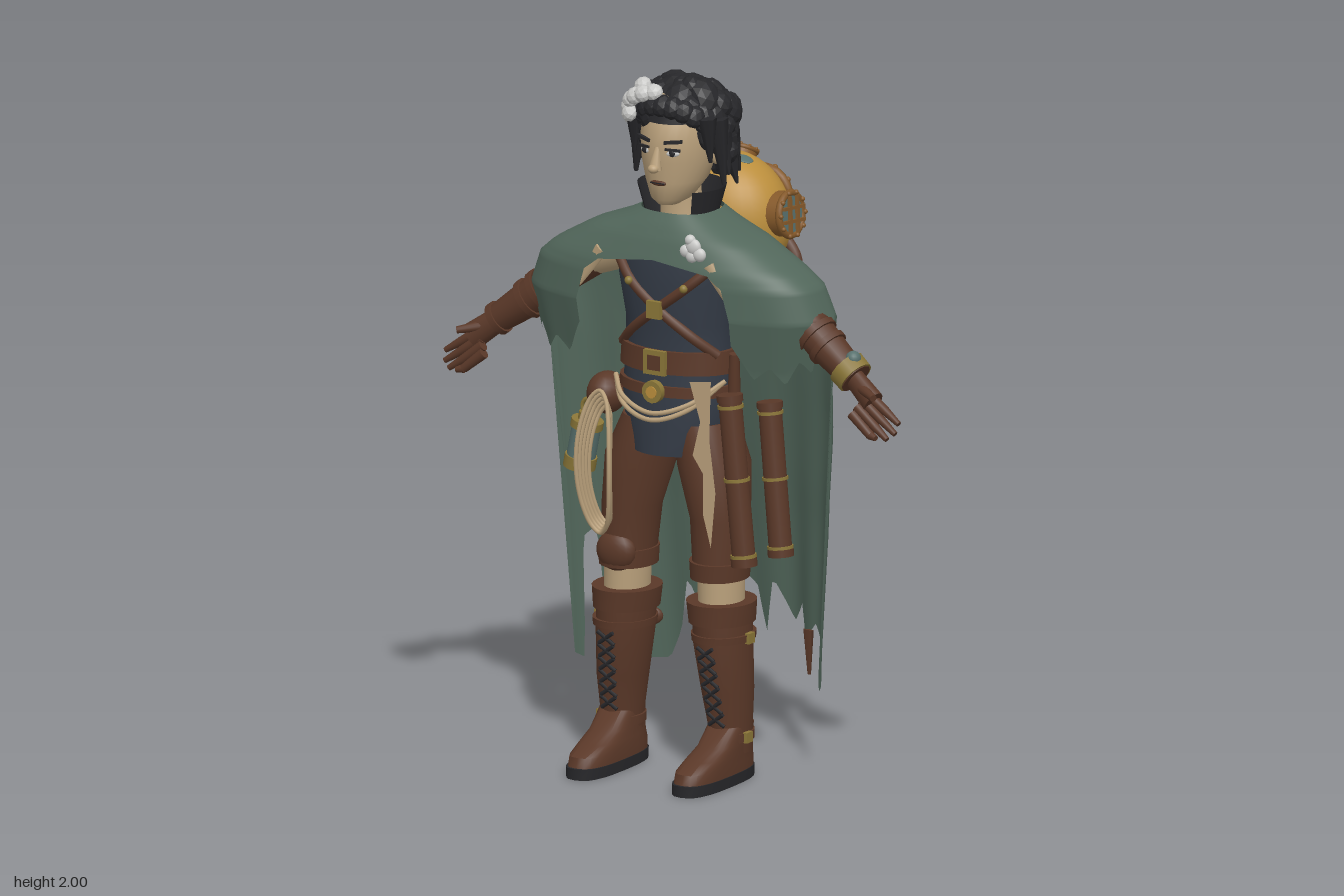
import * as THREE from 'three';
import { mergeGeometries, toCreasedNormals } from 'three/addons/utils/BufferGeometryUtils.js';

const mat = (name, color, extra = {}) => new THREE.MeshStandardMaterial({ name, color, ...extra });
const D = { side: THREE.DoubleSide };
const M = {
  cape: mat('cape green', 0x52675b, D), leather: mat('leather brown', 0x5a3828),
  navy: mat('bodice navy', 0x333a45), skin: mat('skin sand', 0xb9a07b, D),
  black: mat('hair black', 0x27272a, D), gold: mat('helmet gold', 0xbb8e3c),
  bronze: mat('bronze', 0x85592a), brass: mat('old brass', 0x8a7638),
  teal: mat('verdigris', 0x58716e), white: mat('white', 0xcbcbc9),
};
const V = (x, y, z) => new THREE.Vector3(x, y, z);
const SIDES = [-1, 1];
const clamp01 = t => THREE.MathUtils.clamp(t, 0, 1);
const pw = (v, e) => Math.sign(v) * Math.abs(v) ** e;

function add(parent, name, geo, m, x = 0, y = 0, z = 0, rx = 0, ry = 0, rz = 0) {
  const o = new THREE.Mesh(geo, m);
  o.name = name; o.position.set(x, y, z); o.rotation.set(rx, ry, rz);
  parent.add(o);
  return o;
}
const ball = (p, name, m, x, y, z, a, b = a, c = a) => {
  const o = add(p, name, new THREE.SphereGeometry(1, 18, 12), m, x, y, z);
  o.scale.set(a, b, c);
  return o;
};
// Tapered cylinder from point a to point b
function rod(p, name, m, a, b, r1, r2 = r1, n = 14) {
  const A = V(...a), d = V(...b).sub(A), len = d.length();
  const o = add(p, name, new THREE.CylinderGeometry(r2, r1, len, n), m);
  o.position.copy(A).addScaledVector(d, 0.5);
  o.quaternion.setFromUnitVectors(V(0, 1, 0), d.normalize());
  return o;
}
const tube = (p, name, m, pts, r, closed = false) => add(p, name,
  new THREE.TubeGeometry(new THREE.CatmullRomCurve3(pts.map(q => V(...q)), closed), pts.length * 8, r, 7, closed), m);

// Skin over sections [x, y, z, rx, rz], listed from bottom to top; e below 1 squares the ellipses
function loft(p, name, m, secs, e = 1, n = 24) {
  const cap = s => [s[0], s[1], s[2], 0, 0];
  const rows = [cap(secs[0]), ...secs, cap(secs.at(-1))], pos = [], idx = [];
  rows.forEach(([x, y, z, rx, rz], i) => {
    for (let j = 0; j <= n; j++) {
      const a = j / n * Math.PI * 2;
      pos.push(x + pw(Math.sin(a), e) * rx, y, z + pw(Math.cos(a), e) * rz);
      if (i && j) { const c = i * (n + 1) + j, b = c - n - 1; idx.push(b - 1, b, c, b - 1, c, c - 1); }
    }
  });
  const g = new THREE.BufferGeometry();
  g.setAttribute('position', new THREE.Float32BufferAttribute(pos, 3));
  g.setIndex(idx);
  return add(p, name, toCreasedNormals(g, 0.8), m);
}
// Interpolate the columns of a table keyed by its first entry
function lookup(table, k) {
  let i = 1;
  while (i < table.length - 1 && k > table[i][0]) i++;
  const a = table[i - 1], b = table[i], t = clamp01((k - a[0]) / (b[0] - a[0]));
  return a.map((v, c) => v + (b[c] - v) * t);
}

function buildCape(g) {
  // y, half width, back z, front z, middle z, front opening angle
  const shape = [[0.2, 0.43, -0.25, 0.1, -0.03, 0.5], [0.7, 0.44, -0.19, 0.15, -0.01, 0.5], [1.2, 0.455, -0.11, 0.22, 0.04, 0.48],
    [1.35, 0.48, -0.085, 0.25, 0.06, 0.46], [1.44, 0.445, -0.07, 0.25, 0.07, 0.44], [1.478, 0.4, -0.063, 0.245, 0.08, 0.36], [1.492, 0.378, -0.06, 0.24, 0.08, 0],
    [1.55, 0.275, -0.05, 0.22, 0.08, 0], [1.59, 0.17, -0.04, 0.2, 0.08, 0], [1.62, 0.11, -0.03, 0.18, 0.08, 0]];
  const front = [[0.551, 1.3], [0.66, 1.32], [0.69, 1.2], [0.76, 1.24], [0.82, 1.17], [0.88, 1.22], [0.94, 1.18], [1, 1.28]];
  const left = [[0, 0.5], [0.04, 0.46], [0.06, 0.32], [0.09, 0.5], [0.16, 0.38], [0.2, 0.44], [0.23, 0.34], [0.3, 0.4], [0.36, 0.35],
    [0.45, 0.37], [0.5, 0.25], [0.55, 0.24], ...front];
  const right = [[0, 0.5], [0.05, 0.5], [0.08, 0.38], [0.11, 0.46], [0.14, 0.3], [0.18, 0.21], [0.37, 0.22], [0.39, 0.6], [0.46, 0.57],
    [0.48, 0.22], [0.55, 0.24], ...front];
  const cols = 160, top = 24, rows = 44, pos = [], idx = [];
  for (let j = 0; j <= rows; j++) for (let i = 0; i <= cols; i++) {
    const u = i / cols * 2 - 1, hem = lookup(u < 0 ? right : left, Math.abs(u))[1];
    const y = j <= top ? 1.62 - 0.27 * j / top : 1.35 - (1.35 - hem) * (j - top) / (rows - top);
    const [, rx, zb, zf, cz, open] = lookup(shape, y);
    const a = u * (Math.PI - open), low = clamp01((1.4 - y) / 0.6), cos = Math.cos(a), c = pw(cos, cos > 0 ? 0.8 + low * 0.5 : 0.8);
    const fold = 1 + Math.cos(a * 14) * 0.05 * clamp01((1.45 - y) / 0.8);
    const taper = u > 0 ? 1 - 0.13 * clamp01((1 - y) / 0.7) : 1;
    pos.push(rx * taper * pw(Math.sin(a), 0.8) * (0.97 + fold * 0.03), y, cz + (c > 0 ? (zb - cz) * c : (cz - zf) * c) * fold);
    if (i && j) { const d = j * (cols + 1) + i, b = d - cols - 1; idx.push(b - 1, d - 1, d, b - 1, d, b); }
  }
  const geo = new THREE.BufferGeometry();
  geo.setAttribute('position', new THREE.Float32BufferAttribute(pos, 3));
  geo.setIndex(idx);
  geo.computeVertexNormals();
  add(g, 'cape', geo, M.cape);
  add(g, 'collar', new THREE.CylinderGeometry(0.128, 0.095, 0.12, 28, 1, true, 0.75, Math.PI * 2 - 1.5), M.black, 0, 1.625, 0.08).scale.z = 0.92;
  for (const [x, y, r] of [[0.105, 1.535, 0.018], [0.13, 1.55, 0.024], [0.15, 1.53, 0.02], [0.125, 1.522, 0.018], [0.12, 1.568, 0.016]]) ball(g, 'flower', M.white, x, y, 0.228, r, r, 0.014);
  // Sandy lining showing at the chest edges
  for (const s of SIDES) rod(g, 'capeLining', M.skin, [s * 0.175, 1.5, 0.222], [s * 0.25, 1.39, 0.222], 0.022, 0.008, 6).scale.z = 0.5;
  // Patches and tatters along the hem
  ball(g, 'hemPatch', M.leather, -0.275, 0.335, -0.186, 0.04, 0.028, 0.014).rotation.y = 0.35;
  rod(g, 'hemTatter', M.skin, [-0.05, 0.5, -0.215], [-0.055, 0.31, -0.225], 0.03, 0.014, 5).scale.z = 0.2;
  rod(g, 'hemTatter', M.leather, [0.27, 0.38, -0.15], [0.27, 0.25, -0.155], 0.018, 0.006, 5).scale.z = 0.3;
}

function buildHead(g) {
  loft(g, 'head', M.skin, [[0, 1.643, 0.15, 0.03, 0.035], [0, 1.66, 0.13, 0.056, 0.07], [0, 1.71, 0.105, 0.084, 0.1], [0, 1.77, 0.095, 0.1, 0.118],
    [0, 1.83, 0.09, 0.106, 0.125], [0, 1.9, 0.08, 0.1, 0.118], [0, 1.95, 0.07, 0.07, 0.085]]);
  loft(g, 'neck', M.skin, [[0, 1.5, 0.08, 0.09, 0.08], [0, 1.58, 0.08, 0.06, 0.06], [0, 1.72, 0.09, 0.055, 0.06]]);
  loft(g, 'headBand', M.black, [[0, 1.882, 0.083, 0.106, 0.124], [0, 1.91, 0.078, 0.106, 0.122]]);
  for (const s of SIDES) {
    ball(g, 'eyeWhite', M.white, s * 0.044, 1.8, 0.2, 0.02, 0.009, 0.006).rotation.y = s * 0.35;
    ball(g, 'iris', M.black, s * 0.044, 1.801, 0.204, 0.01, 0.01, 0.005);
    add(g, 'upperLid', new THREE.BoxGeometry(0.044, 0.007, 0.008), M.black, s * 0.046, 1.811, 0.203, 0, s * 0.35, -s * 0.08);
    add(g, 'eyebrow', new THREE.BoxGeometry(0.052, 0.009, 0.009), M.black, s * 0.048, 1.834, 0.204, 0, s * 0.35, s * 0.1);
    ball(g, 'ear', M.skin, s * 0.106, 1.78, 0.07, 0.012, 0.03, 0.02);
  }
  rod(g, 'nose', M.skin, [0, 1.752, 0.222], [0, 1.815, 0.208], 0.019, 0.008, 8);
  ball(g, 'noseTip', M.skin, 0, 1.757, 0.23, 0.016, 0.013, 0.016);
  ball(g, 'lips', M.leather, 0, 1.71, 0.203, 0.025, 0.008, 0.008);
  add(g, 'mouthLine', new THREE.BoxGeometry(0.044, 0.003, 0.006), M.black, 0, 1.711, 0.209);
  // Hair: faceted curls over an ellipsoid, pointed locks below
  ball(g, 'hairCap', M.black, 0, 1.86, 0.04, 0.135, 0.12, 0.135);
  const curl = new THREE.IcosahedronGeometry(1, 1);
  curl.computeVertexNormals();
  const curls = [], dummy = new THREE.Object3D(), N = 110;
  const place = (p, d, sx, sy, sz) => {
    dummy.position.copy(p); dummy.lookAt(p.clone().add(d));
    dummy.scale.set(sx, sy, sz); dummy.updateMatrix();
    return curl.clone().applyMatrix4(dummy.matrix);
  };
  for (let i = 0; i < N; i++) {
    const y = 1 - 2 * (i + 0.5) / N, r = Math.sqrt(1 - y * y), a = i * 2.39996, d = V(Math.sin(a) * r, y, Math.cos(a) * r);
    if (y < -0.72 || (d.z > 0.25 && y < 0.5 && Math.abs(d.x) < 0.85) || (d.z > 0 && y < -0.15)) continue;
    const k = 0.8 + 0.45 * Math.abs(Math.sin(i * 7.3)), out = 0.95 + 0.1 * Math.sin(i * 4.7);
    curls.push(place(V(d.x * 0.13 * out, 1.83 + y * 0.138 * out, 0.06 + d.z * 0.132 * out), V(d.x, y + 0.35 * Math.sin(i * 2.1), d.z), 0.038 * k, 0.046 * k, 0.033));
  }
  // Fringe along the hairline
  for (let i = -4; i <= 4; i++) {
    const a = i * 0.27;
    curls.push(place(V(Math.sin(a) * 0.115, 1.928 - i * i * 0.003, 0.07 + Math.cos(a) * 0.115), V(Math.sin(a), 0.5, Math.cos(a)), 0.032, 0.034, 0.026));
  }
  add(g, 'curls', mergeGeometries(curls), M.black);
  const streak = [[-0.148, 1.865, 0.11], [-0.137, 1.9, 0.14], [-0.115, 1.928, 0.166], [-0.09, 1.945, 0.184], [-0.06, 1.957, 0.19], [-0.03, 1.963, 0.182], [-0.115, 1.89, 0.172], [-0.085, 1.968, 0.15]];
  add(g, 'whiteStreak', mergeGeometries(streak.map(q => place(V(...q), V(q[0], q[1] - 1.83, q[2] - 0.06), 0.03, 0.026, 0.022))), M.white);
  for (let i = -5; i <= 5; i++) {
    const a = i * 0.33, low = 1.665 + (i & 1) * 0.03 + Math.abs(i) * 0.006, x = Math.sin(a), z = -Math.cos(a);
    rod(g, 'lock', M.black, [x * 0.115, 1.82, 0.06 + z * 0.11], [x * 0.15, low, 0.06 + z * 0.15], 0.04, 0.004, 6);
  }
  for (const s of SIDES) {
    rod(g, 'sideLock', M.black, [s * 0.128, 1.89, 0.1], [s * 0.145, 1.7, 0.09], 0.032, 0.006, 6);
    rod(g, 'templeLock', M.black, [s * 0.12, 1.9, 0.14], [s * 0.125, 1.77, 0.13], 0.028, 0.005, 6);
  }
}

function buildTorso(g) {
  loft(g, 'bodice', M.navy, [[0, 0.93, 0.09, 0.135, 0.138], [0, 1.0, 0.09, 0.158, 0.134], [0, 1.1, 0.09, 0.172, 0.126], [0, 1.2, 0.09, 0.163, 0.115],
    [0, 1.3, 0.09, 0.163, 0.115], [0, 1.42, 0.09, 0.185, 0.128], [0, 1.49, 0.09, 0.19, 0.118]]);
  loft(g, 'shoulders', M.skin, [[0, 1.44, 0.085, 0.2, 0.1], [0, 1.52, 0.08, 0.19, 0.09], [0, 1.58, 0.08, 0.09, 0.07]]);
  loft(g, 'belt', M.leather, [[0, 1.165, 0.09, 0.18, 0.13], [0, 1.23, 0.09, 0.176, 0.127]]);
  loft(g, 'lowerBelt', M.leather, [[0, 1.1, 0.09, 0.18, 0.135], [0, 1.13, 0.09, 0.18, 0.133]]);
  for (const s of SIDES) {
    tube(g, 'crossStrap', M.leather, [[s * 0.165, 1.49, 0.16], [s * 0.09, 1.42, 0.203], [0, 1.35, 0.209], [-s * 0.09, 1.28, 0.187], [-s * 0.155, 1.22, 0.14]], 0.015);
    ball(g, 'strapStud', M.brass, s * 0.09, 1.42, 0.216, 0.012);
    rod(g, 'cuffedSleeve', M.skin, [s * 0.17, 1.48, 0.085], [s * 0.3, 1.43, 0.085], 0.06, 0.055);
  }
  add(g, 'strapPlate', new THREE.BoxGeometry(0.046, 0.05, 0.015), M.brass, 0, 1.35, 0.226);
  add(g, 'beltBuckle', new THREE.BoxGeometry(0.07, 0.07, 0.014), M.brass, 0, 1.197, 0.221);
  add(g, 'buckleCentre', new THREE.BoxGeometry(0.042, 0.042, 0.016), M.leather, 0, 1.197, 0.223);
  rod(g, 'beltMedal', M.brass, [0, 1.115, 0.22], [0, 1.115, 0.24], 0.032);
  rod(g, 'medalCentre', M.gold, [0, 1.115, 0.238], [0, 1.115, 0.244], 0.017);
  for (const k of [0, 1]) tube(g, 'waistRope', M.skin, [[-0.18, 1.12, 0.14], [-0.12, 1.08 - k * 0.02, 0.2], [0, 1.055 - k * 0.02, 0.24], [0.1, 1.085 - k * 0.015, 0.21], [0.18, 1.15, 0.14]], 0.007);
}

function buildLimbs(g, s) {
  const leg = new THREE.Group(), arm = new THREE.Group();
  leg.name = s > 0 ? 'leftLeg' : 'rightLeg'; arm.name = s > 0 ? 'leftArm' : 'rightArm';
  g.add(leg, arm);
  const L = (name, m, secs, e) => loft(leg, name, m, secs.map(([x, ...r]) => [s * x, ...r]), e);
  L('trouserLeg', M.leather, [[0.15, 0.58, 0.12, 0.072, 0.085], [0.145, 0.75, 0.11, 0.082, 0.095], [0.118, 0.9, 0.1, 0.1, 0.115], [0.085, 1.02, 0.09, 0.08, 0.105]]);
  L('trouserCuff', M.leather, [[0.15, 0.58, 0.12, 0.08, 0.093], [0.15, 0.63, 0.12, 0.083, 0.096]]);
  L('knee', M.skin, [[0.155, 0.5, 0.12, 0.062, 0.074], [0.152, 0.61, 0.12, 0.064, 0.076]]);
  L('bootShaft', M.leather, [[0.178, 0.08, 0.105, 0.055, 0.072], [0.178, 0.14, 0.108, 0.057, 0.07], [0.172, 0.26, 0.115, 0.07, 0.085], [0.16, 0.4, 0.12, 0.08, 0.096], [0.157, 0.5, 0.12, 0.08, 0.095]]);
  L('bootCuff', M.leather, [[0.157, 0.455, 0.12, 0.09, 0.105], [0.155, 0.515, 0.12, 0.096, 0.108]]);
  L('bootBand', M.leather, [[0.162, 0.405, 0.12, 0.086, 0.102], [0.162, 0.425, 0.12, 0.087, 0.103]]);
  L('bootFoot', M.leather, [[0.174, 0.03, 0.192, 0.06, 0.168], [0.174, 0.06, 0.188, 0.06, 0.162], [0.175, 0.085, 0.165, 0.057, 0.132], [0.177, 0.11, 0.135, 0.055, 0.1], [0.178, 0.16, 0.108, 0.054, 0.068]], 0.72);
  L('bootSole', M.black, [[0.174, 0, 0.194, 0.061, 0.173], [0.174, 0.032, 0.194, 0.062, 0.174]], 0.72);
  L('ankleStrap', M.leather, [[0.178, 0.115, 0.11, 0.063, 0.079], [0.178, 0.14, 0.11, 0.063, 0.079]]);
  for (const [x, y] of [[0.241, 0.128], [0.248, 0.415]]) add(leg, 'bootBuckle', new THREE.BoxGeometry(0.014, 0.03, 0.03), M.brass, s * x, y, 0.12);
  for (let i = 0; i < 6; i++) for (const k of SIDES) {
    const y = 0.165 + i * 0.039, z = 0.18 + i * 0.0072, x = s * (0.176 - i * 0.0025);
    rod(leg, 'bootLace', M.black, [x - k * 0.025, y, z], [x + k * 0.025, y + 0.036, z + 0.007], 0.006, 0.006, 5);
  }
  if (s < 0) ball(leg, 'kneePad', M.leather, -0.15, 0.625, 0.185, 0.062, 0.058, 0.036);
  // Arm, banded gauntlet and open hand
  const R = (name, m, a, b, r1, r2) => rod(arm, name, m, [s * a[0], a[1], a[2]], [s * b[0], b[1], b[2]], r1, r2);
  R('upperArm', M.leather, [0.26, 1.45, 0.085], [0.42, 1.345, 0.09], 0.055, 0.055);
  ball(arm, 'elbow', M.leather, s * 0.425, 1.335, 0.09, 0.06);
  R('gauntlet', M.leather, [0.42, 1.335, 0.09], [0.585, 1.215, 0.11], 0.06, 0.042);
  for (const t of [0.15, 0.38, 0.95]) {
    const p = k => [0.42 + 0.165 * k, 1.335 - 0.12 * k, 0.09 + 0.02 * k];
    R('gauntletBand', M.leather, p(t), p(t + 0.09), 0.066 - t * 0.018, 0.066 - t * 0.018);
  }
  R('palm', M.leather, [0.575, 1.22, 0.11], [0.66, 1.155, 0.13], 0.034, 0.04).scale.z = 0.75;
  for (let i = 0; i < 4; i++) {
    const y = 1.175 - i * 0.018, z = 0.12 + i * 0.011, x = 0.65 - i * 0.01;
    const mid = [x + 0.048, y - 0.04 - i * 0.004, z + 0.006], tip = [[0.745, 1.105], [0.74, 1.078], [0.72, 1.062], [0.69, 1.064]][i];
    R('finger', M.leather, [x - 0.015, y, z], mid, 0.016, 0.013);
    R('fingerTip', M.leather, mid, [...tip, z + 0.012], 0.013, 0.008);
  }
  R('thumb', M.leather, [0.61, 1.195, 0.125], [0.685, 1.18, 0.17], 0.018, 0.01);
  if (s > 0) {
    R('bracelet', M.brass, [0.555, 1.238, 0.105], [0.59, 1.212, 0.11], 0.056, 0.054);
    ball(arm, 'braceletStone', M.teal, 0.585, 1.268, 0.115, 0.022);
  }
}

// Round window with rim, bolts, glass and bars, facing along dir
function port(g, pos, dir, r, depth) {
  const p = new THREE.Group();
  p.name = 'porthole'; p.position.set(...pos);
  p.quaternion.setFromUnitVectors(V(0, 0, 1), V(...dir).normalize());
  g.add(p);
  rod(p, 'portBarrel', M.bronze, [0, 0, -depth], [0, 0, 0], r * 0.95, r * 0.9, 24).name = 'portBarrel';
  add(p, 'portRim', new THREE.TorusGeometry(r * 0.86, r * 0.15, 8, 24), M.bronze);
  rod(p, 'portGlass', M.teal, [0, 0, 0], [0, 0, 0.006], r * 0.8, r * 0.8, 24);
  for (let i = 0; i < 10; i++) ball(p, 'portBolt', M.bronze, Math.cos(i * 0.628) * r * 0.9, Math.sin(i * 0.628) * r * 0.9, r * 0.13, r * 0.1);
  if (r > 0.06) for (const k of SIDES) {
    add(p, 'portBar', new THREE.BoxGeometry(0.009, r * 1.5, 0.01), M.bronze, k * r * 0.27, 0, 0.012);
    add(p, 'portBar', new THREE.BoxGeometry(r * 1.5, 0.009, 0.01), M.bronze, 0, k * r * 0.27, 0.012);
  }
}

function buildHelmet(g) {
  const h = new THREE.Group();
  h.name = 'divingHelmet'; g.add(h);
  const cz = -0.165;
  const dome = add(h, 'helmetDome', new THREE.SphereGeometry(1, 36, 24), M.gold, 0, 1.53, cz);
  dome.scale.set(0.185, 0.19, 0.15);
  const skirt = add(h, 'helmetCollar', new THREE.LatheGeometry([[0, 1.3], [0.16, 1.3], [0.17, 1.32], [0.155, 1.36], [0.135, 1.4], [0.15, 1.405], [0.15, 1.43], [0.13, 1.44]].map(q => new THREE.Vector2(...q)), 32), M.gold, 0, 0, cz - 0.015);
  skirt.scale.z = 0.74;
  for (const [y, r, m] of [[1.415, 0.15, M.gold], [1.33, 0.163, M.bronze]]) {
    const ring = add(h, 'collarRing', new THREE.TorusGeometry(r, 0.011, 8, 32), m, 0, y, cz - 0.015, Math.PI / 2);
    ring.scale.y = 0.74;
  }
  for (let i = 0; i < 14; i++) ball(h, 'collarBolt', M.bronze, Math.sin(i * 0.449) * 0.16, 1.365, cz - 0.015 + Math.cos(i * 0.449) * 0.12, 0.011);
  port(h, [0, 1.55, -0.353], [0, 0, -1], 0.092, 0.09);
  port(h, [0, 1.708, -0.24], [0, 0.85, -0.5], 0.046, 0.04);
  for (const s of SIDES) {
    port(h, [s * 0.202, 1.565, -0.165], [s, 0.1, 0], 0.07, 0.06);
    rod(h, 'valve', M.bronze, [s * 0.1, 1.5, -0.25], [s * 0.14, 1.5, -0.295], 0.03);
    tube(h, 'airHose', M.leather, [[s * 0.13, 1.46, -0.26], [s * 0.165, 1.41, -0.255], [s * 0.172, 1.3, -0.235], [s * 0.15, 1.15, -0.22], [s * 0.08, 1.06, -0.225], [s * 0.03, 1.11, -0.23], [s * 0.03, 1.3, -0.21]], 0.018);
  }
  // Hose wound into a flat spiral
  const spiral = Array.from({ length: 20 }, (_, i) => [0.215, 1.21 + Math.sin(i * 0.8) * (0.012 + i * 0.0027), -0.14 + Math.cos(i * 0.8) * (0.012 + i * 0.0027)]);
  tube(h, 'hoseCoil', M.leather, [...spiral, [0.19, 1.32, -0.19], [0.175, 1.42, -0.21]], 0.014);
  // Patina spots lie flat on the dome
  for (const [x, y, z, r] of [[0.3, 0.85, 0.1, 0.026], [-0.5, 0.75, -0.2, 0.024], [-0.45, 0.5, -0.75, 0.02], [0.5, 0.5, -0.7, 0.022]]) {
    const d = V(x, y, z).normalize();
    const spot = ball(h, 'patina', M.teal, d.x * 0.185, 1.53 + d.y * 0.19, cz + d.z * 0.15, r, r * 0.75, 0.004);
    spot.quaternion.setFromUnitVectors(V(0, 0, 1), V(d.x / 0.185, d.y / 0.19, d.z / 0.15).normalize());
  }
  for (let i = -4; i <= 4; i++) rod(h, 'tassel', M.skin, [i * 0.028, 1.31, -0.235 - (i & 1) * 0.02], [i * 0.032, 1.17 - (i & 1) * 0.05, -0.255], 0.02, 0.005, 6);
}

function buildGear(g) {
  for (let k = 0; k < 5; k++) tube(g, 'ropeCoil', M.skin, Array.from({ length: 14 }, (_, i) => {
    const a = i / 14 * Math.PI * 2, y = Math.cos(a);
    return [-0.16 + Math.sin(a) * (0.062 - k * 0.005), 0.895 - k * 0.004 + y * (0.205 - k * 0.009), 0.295 - y * y * 0.04 - k * 0.009 + Math.sin(a) * 0.012];
  }), 0.0065, true);
  ball(g, 'pouch', M.leather, -0.215, 1.06, 0.13, 0.055, 0.06, 0.065);
  const lamp = new THREE.Group();
  lamp.name = 'lantern'; lamp.position.set(-0.29, 0.915, 0.13); lamp.rotation.z = -0.2; g.add(lamp);
  for (const [m, y0, y1, r] of [[M.brass, -0.085, -0.05, 0.046], [M.teal, -0.05, 0.035, 0.041], [M.brass, 0.035, 0.058, 0.046], [M.brass, 0.058, 0.08, 0.028]]) rod(lamp, 'lanternPart', m, [0, y0, 0], [0, y1, 0], r, r, 18);
  add(lamp, 'lanternHandle', new THREE.TorusGeometry(0.026, 0.006, 6, 18), M.brass, 0, 0.095, 0);
  // Scroll tubes with brass bands
  for (const [a, b] of [[[0.225, 1.13, 0.19], [0.28, 0.65, 0.2]], [[0.3, 1.1, 0.1], [0.35, 0.67, 0.12]]]) {
    const at = t => a.map((v, i) => v + (b[i] - v) * t);
    rod(g, 'scrollTube', M.leather, a, b, 0.033, 0.033, 18);
    for (const [t0, t1, m] of [[0, 0.04, M.leather], [0.06, 0.08, M.brass], [0.49, 0.51, M.brass], [0.94, 0.96, M.brass], [0.96, 1.01, M.leather]]) rod(g, 'tubeBand', m, at(t0), at(t1), 0.037, 0.037, 18);
  }
  rod(g, 'knifeHandle', M.leather, [0.215, 1.12, 0.15], [0.222, 1.24, 0.16], 0.018, 0.014);
  const cloth = new THREE.Shape([[0.12, 1.16], [0.19, 1.17], [0.185, 1.0], [0.205, 0.85], [0.19, 0.69], [0.165, 0.78], [0.165, 0.9], [0.13, 0.95], [0.155, 1.05]].map(q => new THREE.Vector2(...q)));
  add(g, 'hangingCloth', new THREE.ShapeGeometry(cloth), M.skin, 0, 0, 0.232);
}

export function createModel() {
  const g = new THREE.Group();
  g.name = 'cloakedDiver';
  buildTorso(g);
  buildHead(g);
  buildCape(g);
  for (const s of SIDES) buildLimbs(g, s);
  buildHelmet(g);
  buildGear(g);
  return g;
}
